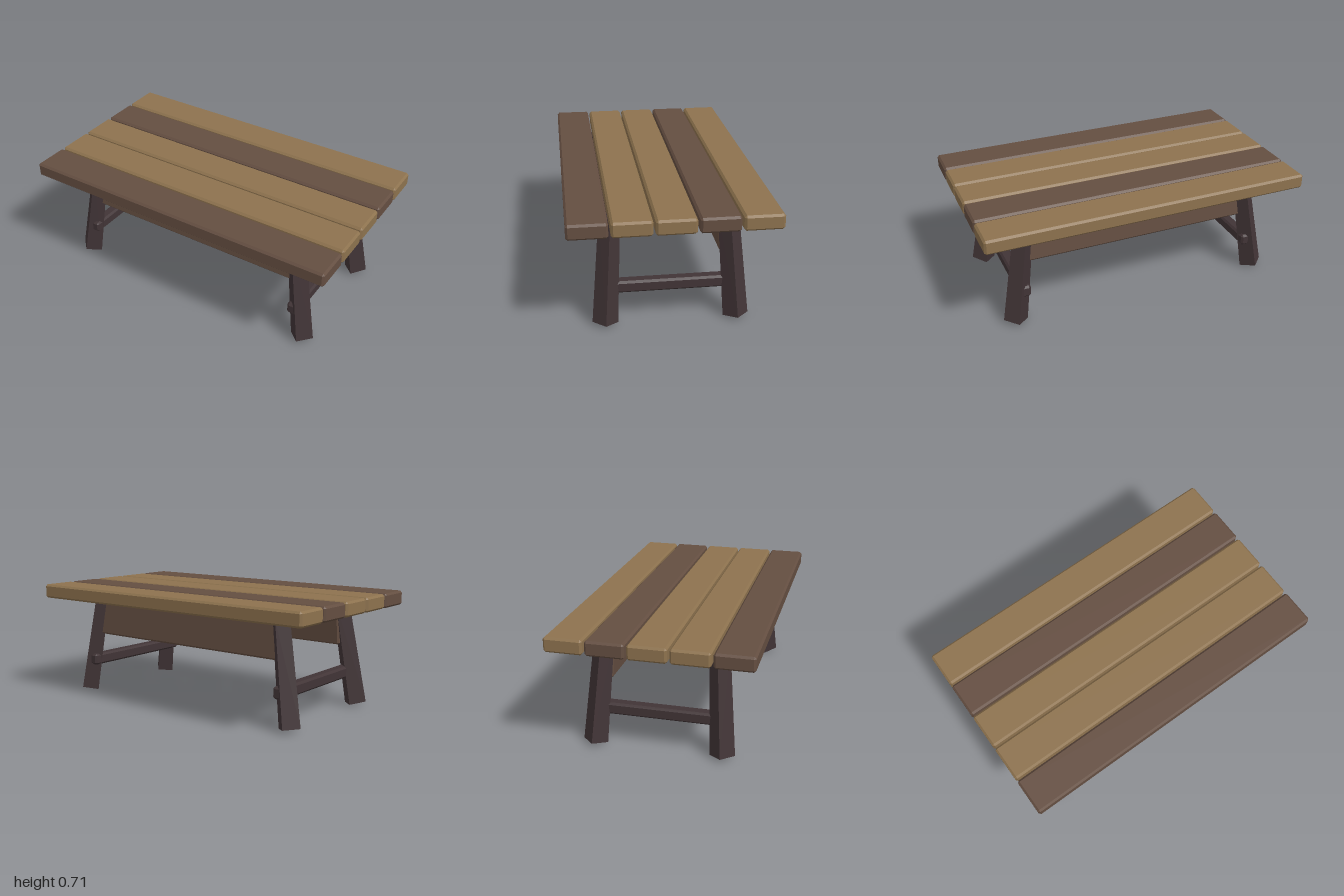
import * as THREE from 'three';
import { ConvexGeometry } from 'three/addons/geometries/ConvexGeometry.js';

const material = (name, color) => {
  const m = new THREE.MeshStandardMaterial({ color });
  m.name = name;
  return m;
};

// Box with all edges and corners cut at 45 degrees
function chamferBox(w, h, d, c) {
  const pts = [];
  for (const x of [-1, 1]) for (const y of [-1, 1]) for (const z of [-1, 1]) {
    const [X, Y, Z] = [w / 2, h / 2, d / 2];
    pts.push(
      new THREE.Vector3(x * X, y * (Y - c), z * (Z - c)),
      new THREE.Vector3(x * (X - c), y * Y, z * (Z - c)),
      new THREE.Vector3(x * (X - c), y * (Y - c), z * Z));
  }
  return new ConvexGeometry(pts);
}

// Tapered, splayed leg with a diamond section; sx and sz choose the corner
function legGeometry(sx, sz) {
  const pts = [];
  const section = (cx, cz, r, y, tiltX, tiltZ) => {
    for (const [dx, dz] of [[r, 0], [0, r], [-r, 0], [0, -r]]) {
      pts.push(new THREE.Vector3(sx * (cx + dx), y + dx * tiltX + dz * tiltZ, sz * (cz + dz)));
    }
  };
  section(0.807, 0.375, 0.073, 0.0125, 0.17, 0.085);
  section(0.711, 0.333, 0.06, 0.628, 0, 0);
  return new ConvexGeometry(pts);
}

export function createModel() {
  const group = new THREE.Group();
  group.name = 'plankTable';
  const lightWood = material('light wood', 0x8d724e);
  const brownWood = material('brown wood', 0x644e41);
  const darkWood = material('dark wood', 0x413436);

  const add = (name, geometry, mat, x = 0, y = 0, z = 0) => {
    const mesh = new THREE.Mesh(geometry, mat);
    mesh.name = name;
    mesh.position.set(x, y, z);
    group.add(mesh);
    return mesh;
  };

  // Table top, planks from back to front
  const plank = chamferBox(2, 0.088, 0.222, 0.012);
  [lightWood, brownWood, lightWood, lightWood, brownWood].forEach((mat, i) => {
    add('topPlank', plank, mat, 0, 0.668, (i - 2) * 0.2345);
  });

  // Side aprons, leaning inwards with the legs
  const apron = chamferBox(1.45, 0.236, 0.076, 0.01);
  for (const s of [-1, 1]) {
    add('apron', apron, brownWood, 0, 0.5, s * 0.315).rotation.x = -s * 0.077;
  }

  // Legs and the stretchers that pass through each pair
  const stretcher = chamferBox(0.07, 0.072, 0.82, 0.012);
  for (const sx of [-1, 1]) {
    add('stretcher', stretcher, darkWood, sx * 0.745, 0.211, 0);
    for (const sz of [-1, 1]) add('leg', legGeometry(sx, sz), darkWood);
  }
  return group;
}
